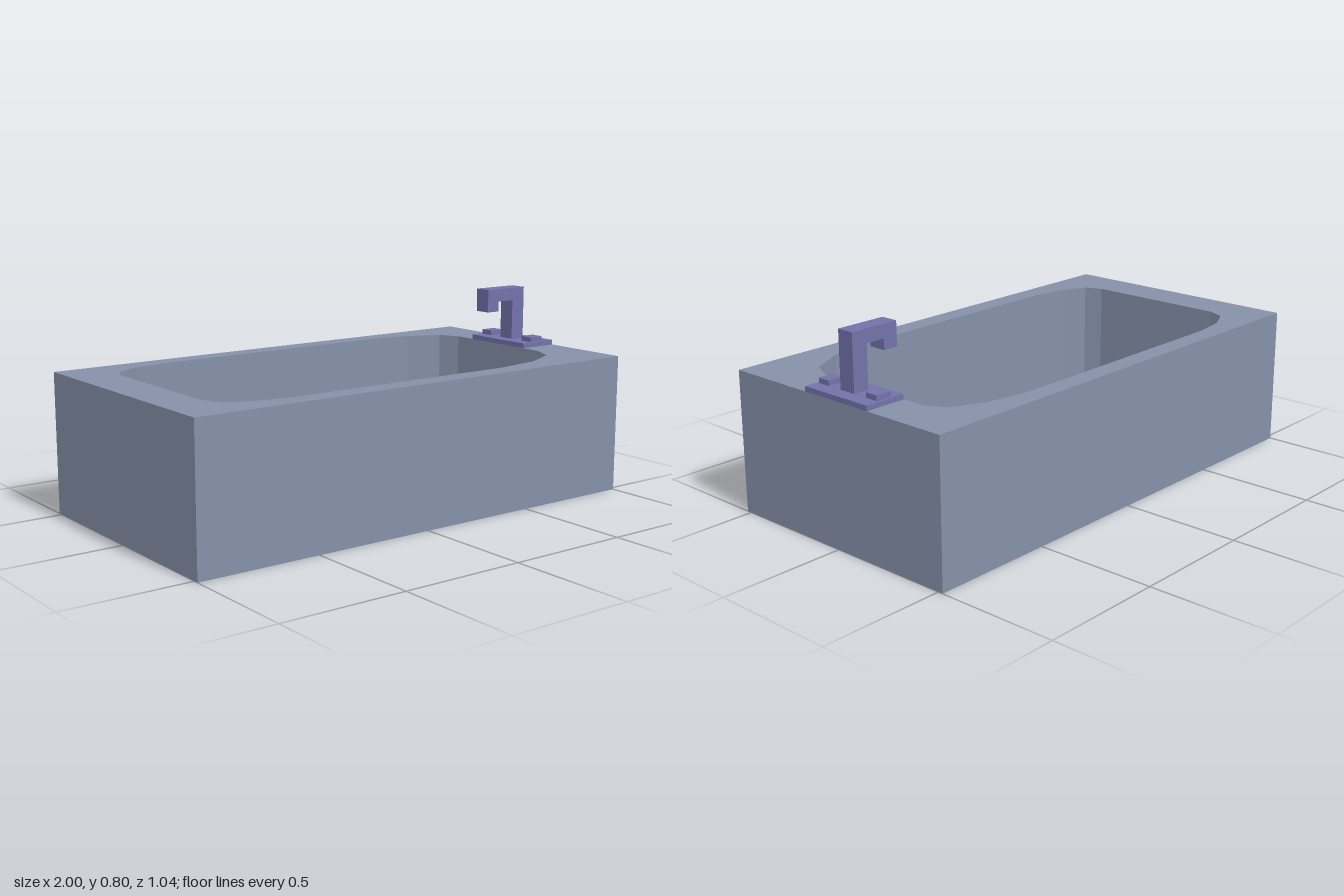
import * as THREE from 'three';

const TUB_HEIGHT = 0.56;
const FLOOR_HEIGHT = 0.085;

const toVectors = (points) => points.map(([a, b]) => new THREE.Vector2(a, b));

// Basin outline seen from above, as [x, z]
const basinOutline = [
  [-0.83, -0.30], [-0.80, -0.37], [-0.70, -0.42], [-0.56, -0.44],
  [0.49, -0.44], [0.66, -0.41], [0.79, -0.35], [0.83, -0.27],
  [0.83, 0.23], [0.78, 0.33], [0.64, 0.40], [0.44, 0.433],
  [-0.55, 0.433], [-0.69, 0.41], [-0.80, 0.36], [-0.83, 0.29],
];

// Spout side profile, as [x, y]
const spoutProfile = [
  [0.945, 0.58], [0.945, 0.80], [0.74, 0.80], [0.74, 0.705],
  [0.80, 0.705], [0.80, 0.747], [0.88, 0.747], [0.88, 0.58],
];

export function createModel() {
  const group = new THREE.Group();
  const enamel = new THREE.MeshStandardMaterial({ color: 0x8591a9 });
  enamel.name = 'tubBlueGrey';
  const metal = new THREE.MeshStandardMaterial({ color: 0x7272aa });
  metal.name = 'tapViolet';

  const add = (name, geometry, material, parent = group) => {
    const mesh = new THREE.Mesh(geometry, material);
    mesh.name = name;
    parent.add(mesh);
    return mesh;
  };
  // Box given by its extents along each axis
  const addBox = (name, [x0, x1], [y0, y1], [z0, z1], material, parent) => {
    const geometry = new THREE.BoxGeometry(x1 - x0, y1 - y0, z1 - z0);
    geometry.translate((x0 + x1) / 2, (y0 + y1) / 2, (z0 + z1) / 2);
    return add(name, geometry, material, parent);
  };
  // Plan shape extruded straight up from the ground
  const extrudeUp = (shape, depth) =>
    new THREE.ExtrudeGeometry(shape, { depth, bevelEnabled: false }).rotateX(-Math.PI / 2);

  // Tub: rectangular block with a straight-walled basin and a floor
  const basin = toVectors(basinOutline.map(([x, z]) => [x, -z]));
  const block = new THREE.Shape(toVectors([[-1, -0.52], [1, -0.52], [1, 0.52], [-1, 0.52]]));
  block.holes.push(new THREE.Path(basin));
  add('tubWalls', extrudeUp(block, TUB_HEIGHT), enamel);
  add('tubFloor', extrudeUp(new THREE.Shape(basin), FLOOR_HEIGHT), enamel);

  // Tap: mounting plate, two knobs and a hooked spout
  const tap = new THREE.Group();
  tap.name = 'tap';
  group.add(tap);
  addBox('tapPlate', [0.83, 1], [TUB_HEIGHT, 0.58], [-0.176, 0.143], metal, tap);
  addBox('rightKnob', [0.88, 0.945], [0.58, 0.60], [0.08, 0.133], metal, tap);
  addBox('leftKnob', [0.88, 0.945], [0.58, 0.60], [-0.166, -0.112], metal, tap);
  const spout = new THREE.ExtrudeGeometry(new THREE.Shape(toVectors(spoutProfile)), {
    depth: 0.07,
    bevelEnabled: false,
  });
  add('spout', spout.translate(0, 0, -0.052), metal, tap);

  return group;
}
